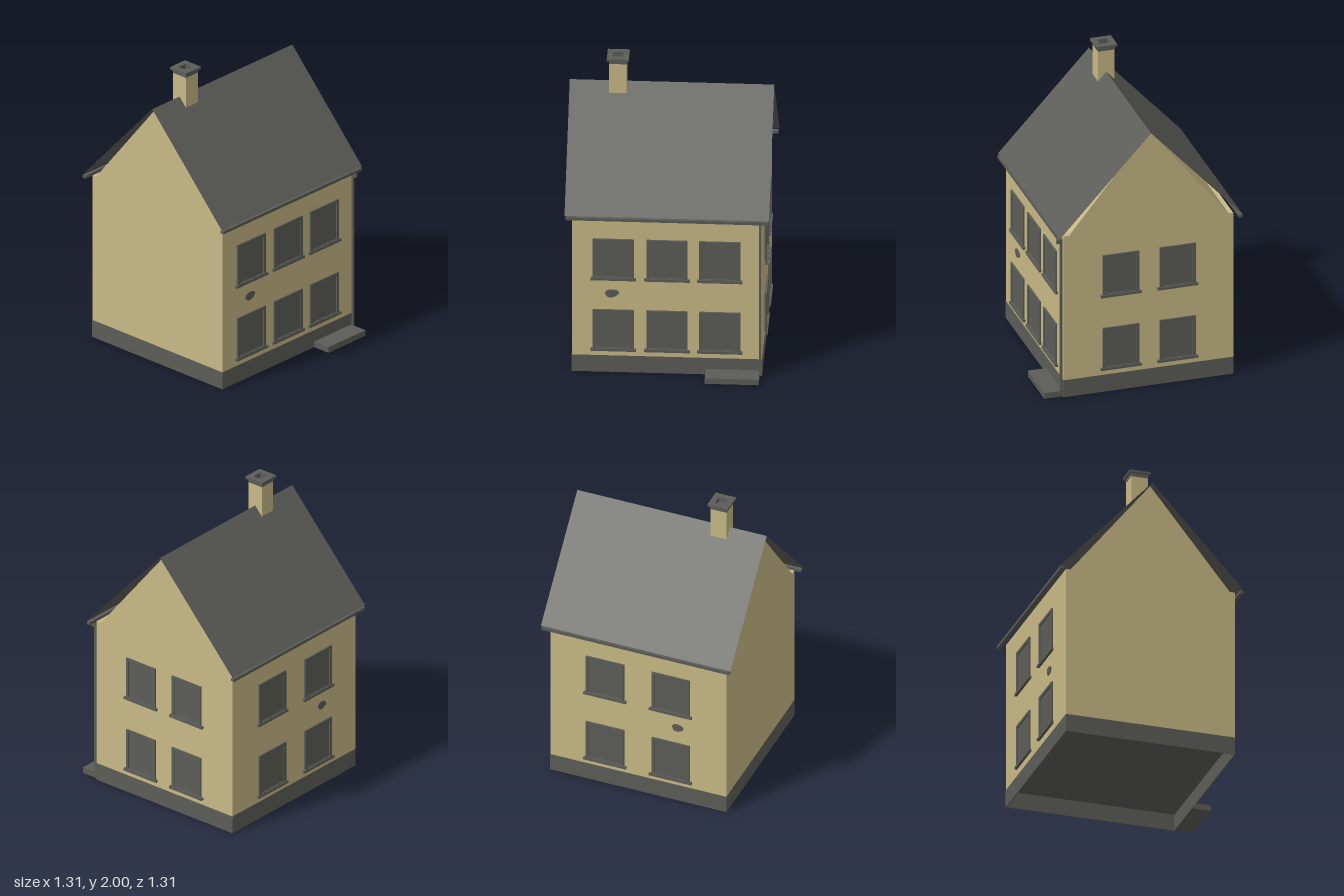
import * as THREE from 'three';

const wallPaint = new THREE.MeshStandardMaterial({ name: 'sandWall', color: 0xc8b985 });
const slate = new THREE.MeshStandardMaterial({ name: 'slateGrey', color: 0x5c5d58 });
const slateSheet = new THREE.MeshStandardMaterial({ name: 'slateGreySheet', color: 0x5c5d58, side: THREE.DoubleSide });

function add(parent, name, geometry, material) {
  const mesh = new THREE.Mesh(geometry, material);
  mesh.name = name;
  parent.add(mesh);
  return mesh;
}

// Box given by its extents on each axis
function box(parent, name, material, [x0, x1], [y0, y1], [z0, z1]) {
  const mesh = add(parent, name, new THREE.BoxGeometry(x1 - x0, y1 - y0, z1 - z0), material);
  mesh.position.set((x0 + x1) / 2, (y0 + y1) / 2, (z0 + z1) / 2);
  return mesh;
}

function rect(Type, w, h) {
  const a = w / 2, b = h / 2;
  return new Type([[-a, -b], [a, -b], [a, b], [-a, b]].map(p => new THREE.Vector2(...p)));
}

// Rectangular ring in the xy plane, extruded along +z
function ring(w, h, border, depth) {
  const shape = rect(THREE.Shape, w, h);
  shape.holes.push(rect(THREE.Path, w - 2 * border, h - 2 * border));
  return new THREE.ExtrudeGeometry(shape, { depth, bevelEnabled: false });
}

// Window facing +z: raised frame, set-back pane and projecting sill
function makeWindow(w) {
  const h = 0.295;
  const g = new THREE.Group();
  g.name = 'window';
  add(g, 'windowFrame', ring(w, h, 0.02, 0.011), slate);
  box(g, 'windowPane', slate, [-w / 2 + 0.01, w / 2 - 0.01], [-h / 2 + 0.01, h / 2 - 0.01], [-0.003, 0.003]);
  box(g, 'windowSill', slate, [-w / 2 - 0.015, w / 2 + 0.015], [-h / 2 - 0.003, -h / 2 + 0.014], [0, 0.017]);
  return g;
}

// Thin uneven oval plaque facing +z
function plaque(rx, ry) {
  const points = [];
  for (let i = 0; i < 18; i++) {
    const a = i / 18 * Math.PI * 2;
    const r = 1 + 0.07 * Math.sin(3 * a + 1);
    points.push(new THREE.Vector2(rx * r * Math.cos(a), ry * r * Math.sin(a)));
  }
  return new THREE.ExtrudeGeometry(new THREE.Shape(points), { depth: 0.006, bevelEnabled: false });
}

export function createModel() {
  const house = new THREE.Group();
  house.name = 'house';
  const X = [-0.61, 0.604], Z = [-0.605, 0.53], ridgeZ = -0.04;
  const midX = (X[0] + X[1]) / 2;

  // Walls with gables, extruded from the side profile
  const profile = [[-0.53, 0.12], [0.605, 0.12], [0.605, 1.14], [0.575, 1.14], [0.04, 1.805], [-0.495, 1.14], [-0.53, 1.14]];
  const walls = new THREE.ExtrudeGeometry(new THREE.Shape(profile.map(p => new THREE.Vector2(...p))),
    { depth: X[1] - X[0], bevelEnabled: false });
  walls.rotateY(Math.PI / 2).translate(X[0], 0, 0);
  add(house, 'walls', walls, wallPaint);

  // Hollow plinth and the floor above it
  const plinth = ring(X[1] - X[0] + 0.002, Z[1] - Z[0] + 0.002, 0.005, 0.12);
  plinth.rotateX(-Math.PI / 2).translate(midX, 0, (Z[0] + Z[1]) / 2);
  add(house, 'plinth', plinth, slate);
  box(house, 'floor', slate, X, [0.112, 0.119], Z);
  box(house, 'doorstep', slate, [0.245, 0.59], [0, 0.04], [0.525, 0.655]);

  // Roof slopes are thin sheets meeting at the ridge
  const run = 0.608, rise = 0.66;
  for (const side of [1, -1]) {
    const slope = new THREE.PlaneGeometry(1.306, Math.hypot(run, rise));
    slope.rotateX(-Math.atan2(run, rise)).translate(0, 1.81 - rise / 2, run / 2);
    if (side < 0) slope.rotateY(Math.PI);
    slope.translate(-0.002, 0, ridgeZ);
    add(house, 'roofSlope', slope, slateSheet);
    const gutterZ = ridgeZ + side * 0.602;
    box(house, 'gutter', slate, [-0.648, 0.645], [1.122, 1.142], [gutterZ - 0.012, gutterZ + 0.012]);
  }

  // Downpipe with its bend under the front gutter
  box(house, 'downpipe', slate, [0.587, 0.601], [0.02, 1.1], [0.538, 0.551]);
  box(house, 'downpipeBend', slate, [0.587, 0.601], [1.09, 1.112], [0.54, 0.575]);
  box(house, 'downpipeOutlet', slate, [0.587, 0.601], [1.11, 1.125], [0.558, 0.572]);

  // Windows: [wall centres, width, placement on the wall]
  const faces = [
    [[-0.345, -0.002, 0.335], 0.262, (w, c, y) => w.position.set(c, y, Z[1])],
    [[0.222, -0.23], 0.262, (w, c, y) => w.position.set(c, y, Z[0] - 0.005)],
    [[0.15, -0.23], 0.242, (w, c, y) => w.position.set(X[1] + 0.005, y, c)],
  ];
  const turns = [0, Math.PI, Math.PI / 2];
  faces.forEach(([centres, width, place], i) => {
    for (const c of centres) for (const y of [0.309, 0.824]) {
      const w = makeWindow(width);
      w.rotation.y = turns[i];
      place(w, c, y);
      house.add(w);
    }
  });

  // Small wall plaques, front and back
  const front = add(house, 'frontPlaque', plaque(0.044, 0.028), slate);
  front.position.set(-0.355, 0.575, Z[1]);
  front.rotation.z = 0.12;
  const back = add(house, 'backPlaque', plaque(0.038, 0.027), slate);
  back.position.set(-0.275, 0.572, Z[0]);
  back.rotation.y = Math.PI;

  // Chimney stack with collar and open cap
  const chimney = new THREE.Group();
  chimney.name = 'chimney';
  chimney.position.set(-0.345, 0, ridgeZ);
  box(chimney, 'chimneyStack', wallPaint, [-0.056, 0.056], [1.7, 1.962], [-0.056, 0.056]);
  const collar = ring(0.114, 0.114, 0.024, 0.025);
  collar.rotateX(-Math.PI / 2).translate(0, 1.96, 0);
  add(chimney, 'chimneyCollar', collar, slate);
  const cap = ring(0.14, 0.14, 0.038, 0.016);
  cap.rotateX(-Math.PI / 2).translate(0, 1.984, 0);
  add(chimney, 'chimneyCap', cap, slate);
  box(chimney, 'flue', slate, [-0.034, 0.034], [1.958, 1.966], [-0.034, 0.034]);
  house.add(chimney);

  return house;
}
